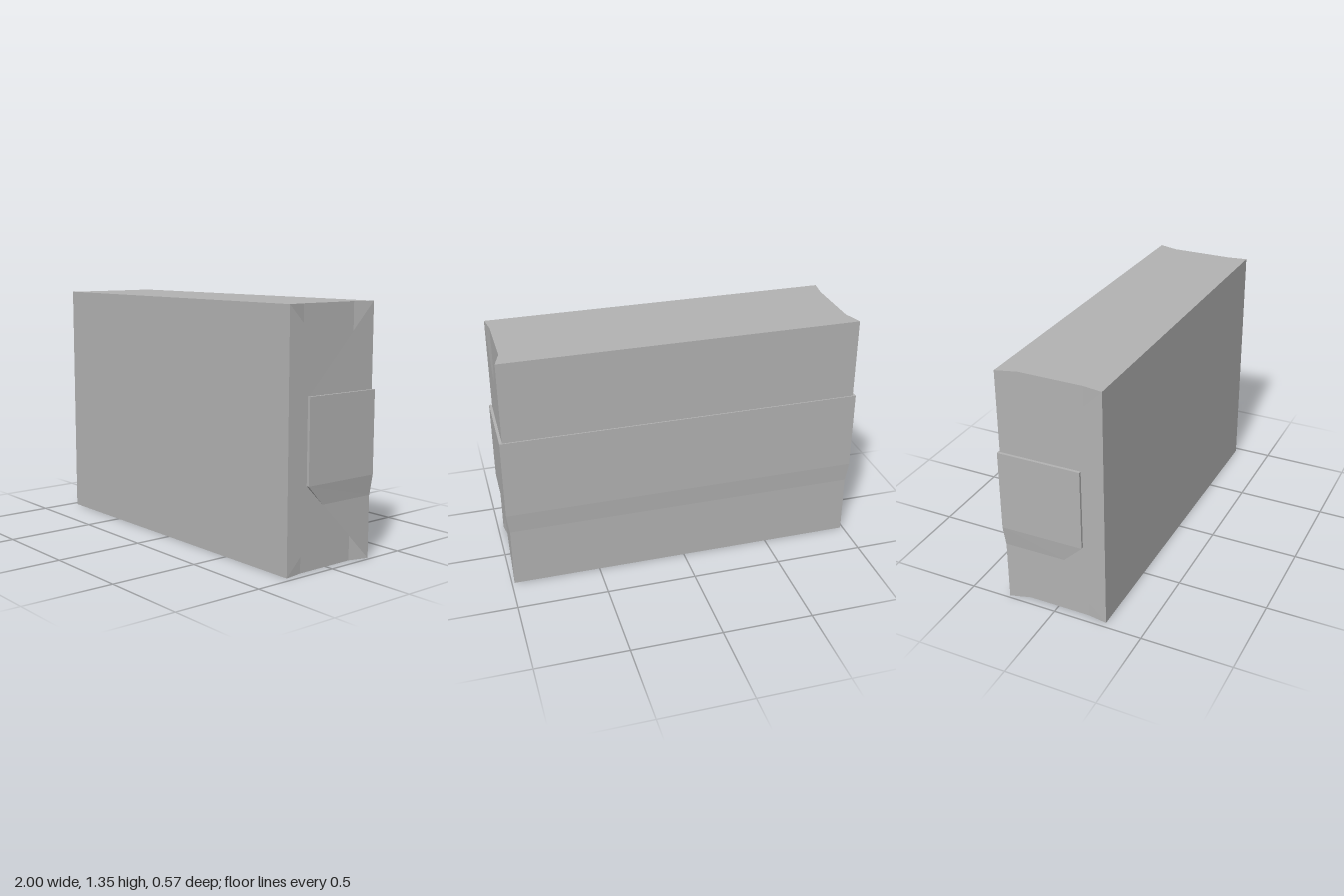
import * as THREE from 'three';

const H = 1.345, FRONT = 0.287, BACK = -0.28, BAND = -0.287;
const LOW = 0.34, MID = 0.45, HIGH = 0.895; // heights of the wrapping overlap

const paper = new THREE.MeshStandardMaterial({ name: 'grey paper', color: 0xb2b2b2, side: THREE.DoubleSide });

// Flat-shaded sheet from convex polygons of [x, y, z] corners, mirrored by sign
function sheet(name, polygons, sign = 1) {
  const positions = [];
  for (const polygon of polygons) {
    const p = polygon.map(([x, y, z]) => [x * sign, y, z]);
    if (sign < 0) p.reverse();
    for (let i = 1; i < p.length - 1; i++) positions.push(...p[0], ...p[i], ...p[i + 1]);
  }
  const geometry = new THREE.BufferGeometry();
  geometry.setAttribute('position', new THREE.Float32BufferAttribute(positions, 3));
  geometry.computeVertexNormals();
  const mesh = new THREE.Mesh(geometry, paper);
  mesh.name = name;
  return mesh;
}

export function createModel() {
  const group = new THREE.Group();
  group.name = 'wrappedPack';

  // Body: prism whose ends are pushed in between the front and back edges
  const half = [[0.968, FRONT], [0.952, 0.18], [0.952, -0.17], [0.985, BACK]];
  const outline = [...half, ...half.map(([x, z]) => [-x, z]).reverse()];
  const shape = new THREE.Shape(outline.map(([x, z]) => new THREE.Vector2(x, -z)));
  const bodyGeometry = new THREE.ExtrudeGeometry(shape, { depth: H, bevelEnabled: false });
  bodyGeometry.rotateX(-Math.PI / 2);
  const body = new THREE.Mesh(bodyGeometry, paper);
  body.name = 'body';
  group.add(body);

  // Overlapping band across the back, tapering into the body below
  group.add(sheet('backBand', [
    [[1, HIGH, BAND], [1, MID, BAND], [-1, MID, BAND], [-1, HIGH, BAND]],
    [[1, MID, BAND], [0.986, LOW, BACK], [-0.986, LOW, BACK], [-1, MID, BAND]],
    [[0.985, HIGH, BACK], [1, HIGH, BAND], [-1, HIGH, BAND], [-0.985, HIGH, BACK]],
  ]));

  for (const sign of [1, -1]) {
    const side = sign > 0 ? 'left' : 'right';

    // Inner end flap folded back from the front edge
    group.add(sheet(`${side}FrontFlap`, [[
      [0.968, 0, FRONT], [0.97, MID, -0.16], [0.97, HIGH, -0.16], [0.968, H, FRONT],
    ]], sign));

    // Outer end flap folded forward from the back edge
    group.add(sheet(`${side}BackFlap`, [[
      [0.985, 0, BACK], [0.985, H, BACK], [0.979, HIGH, 0.165], [0.979, MID, 0.165],
    ]], sign));

    // End of the overlapping band, with its taper and thin lips
    group.add(sheet(`${side}BandFlap`, [
      [[1, MID, BAND], [1, HIGH, BAND], [0.994, HIGH, 0.17], [0.994, MID, 0.17]],
      [[0.986, LOW, BACK], [1, MID, BAND], [0.994, MID, 0.17], [0.982, LOW, 0.06]],
      [[0.985, HIGH, BACK], [0.979, HIGH, 0.17], [0.994, HIGH, 0.17], [1, HIGH, BAND]],
      [[0.979, MID, 0.17], [0.994, MID, 0.17], [0.994, HIGH, 0.17], [0.979, HIGH, 0.17]],
      [[0.979, MID, 0.17], [0.982, LOW, 0.06], [0.994, MID, 0.17]],
    ], sign));
  }
  return group;
}
